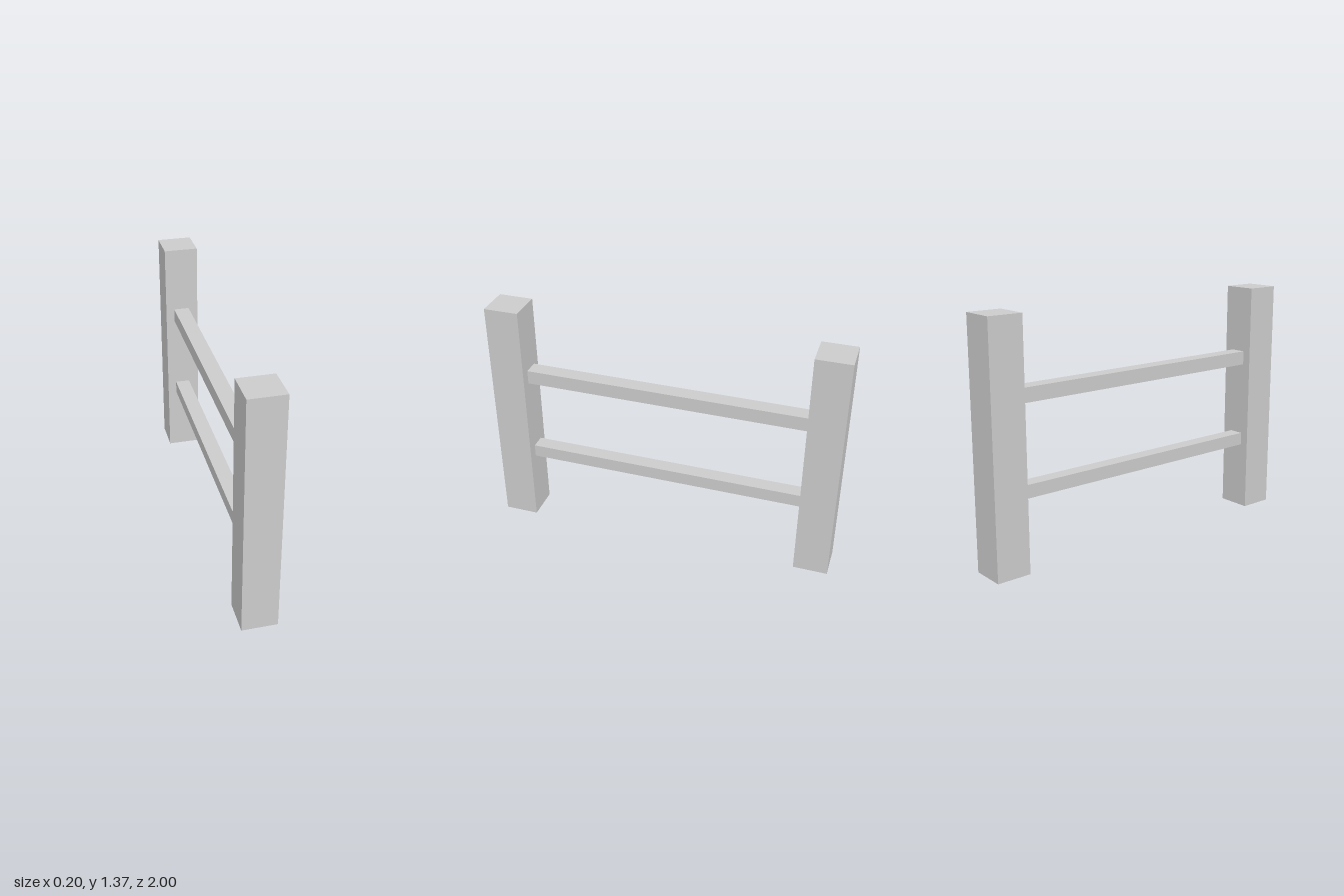
import * as THREE from 'three';

const material = new THREE.MeshStandardMaterial({ color: 0xcccccc, flatShading: true });

const POST_WIDTH = 0.196;
const POST_HEIGHT = 1.365;

function addBox(group, name, size, position) {
  const mesh = new THREE.Mesh(new THREE.BoxGeometry(...size), material);
  mesh.name = name;
  mesh.position.set(...position);
  group.add(mesh);
}

export function createModel() {
  const fence = new THREE.Group();
  fence.name = 'fenceSection';

  // Square end posts
  for (const [name, side] of [['frontPost', 1], ['backPost', -1]]) {
    addBox(fence, name, [POST_WIDTH, POST_HEIGHT, POST_WIDTH],
      [0, POST_HEIGHT / 2, side * (1 - POST_WIDTH / 2)]);
  }

  // Two rails running between the inner faces of the posts
  const railLength = 2 - 2 * POST_WIDTH;
  addBox(fence, 'lowerRail', [0.085, 0.074, railLength], [-0.005, 0.431, 0]);
  addBox(fence, 'upperRail', [0.09, 0.08, railLength], [-0.003, 0.941, 0]);

  return fence;
}
